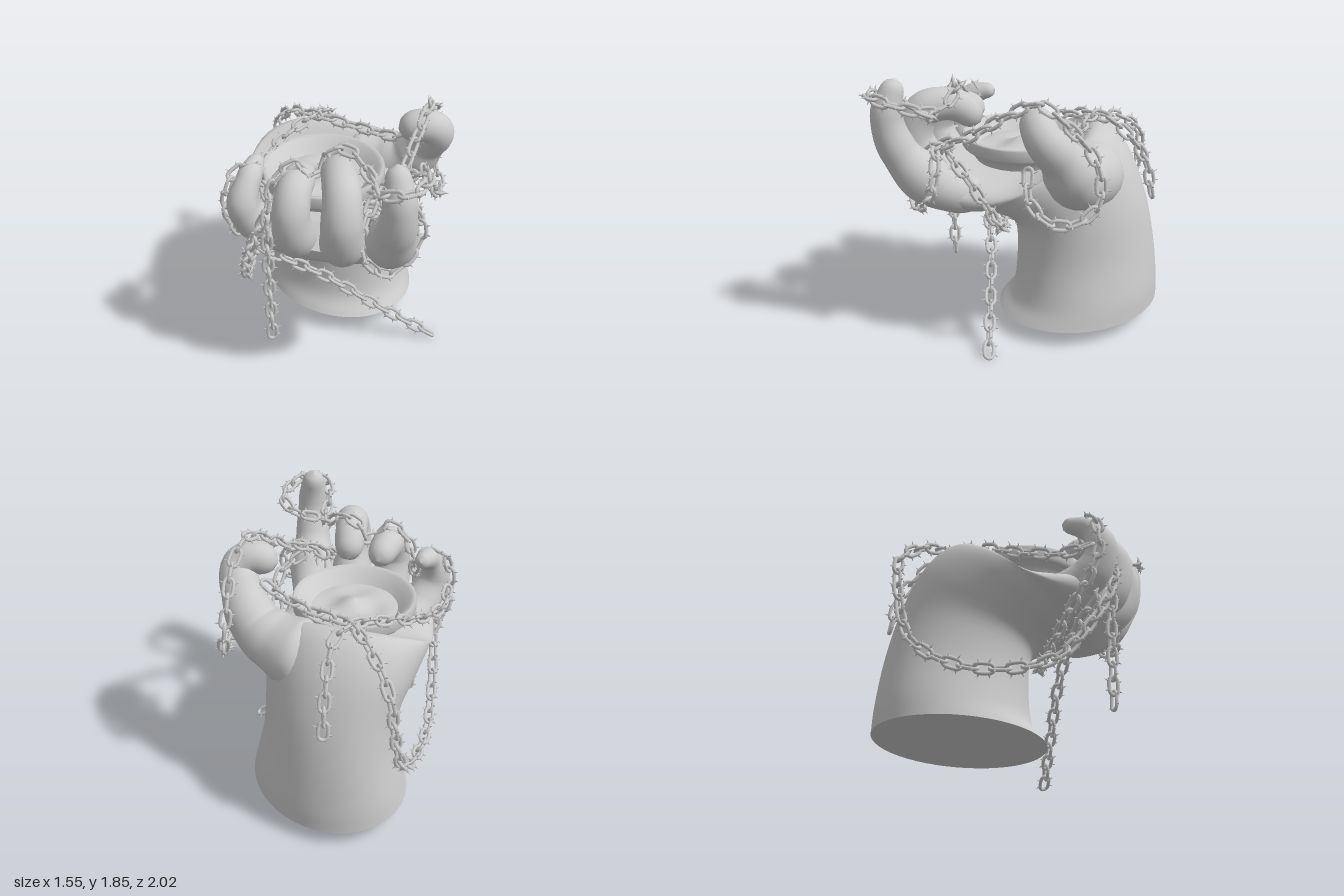
import * as THREE from 'three';
import { mergeGeometries, mergeVertices } from 'three/addons/utils/BufferGeometryUtils.js';

const V = (a) => new THREE.Vector3(...a);
const material = new THREE.MeshStandardMaterial({ color: 0xcccccc });
const open = new THREE.MeshStandardMaterial({ color: 0xcccccc, side: THREE.DoubleSide });

function add(group, name, geometry, mat = material) {
  const mesh = new THREE.Mesh(geometry, mat);
  mesh.name = name;
  group.add(mesh);
}

// Wrist and palm: [back z, back y, front z, front y, centre x, half width]
const SECTIONS = [
  [-1.0, 0.12, 0.16, 0.12, -0.035, 0.555],
  [-0.99, 0.3, 0.06, 0.25, -0.04, 0.52],
  [-0.95, 0.6, 0.03, 0.5, -0.05, 0.465],
  [-0.88, 0.9, 0.04, 0.73, -0.06, 0.46],
  [-0.77, 1.18, 0.1, 0.81, -0.09, 0.5],
  [-0.63, 1.36, 0.19, 0.84, -0.11, 0.53],
  [-0.49, 1.41, 0.28, 0.86, -0.12, 0.54],
  [-0.35, 1.3, 0.37, 0.87, -0.12, 0.54],
  [-0.14, 1.2, 0.47, 0.89, -0.12, 0.54],
  [0.1, 1.18, 0.55, 0.94, -0.11, 0.53],
  [0.32, 1.19, 0.62, 1.01, -0.09, 0.5],
  [0.5, 1.22, 0.66, 1.1, -0.06, 0.42],
];

function palmGeometry() {
  const A = new THREE.CatmullRomCurve3(SECTIONS.map((s) => V(s.slice(0, 3))), false, 'catmullrom');
  const B = new THREE.CatmullRomCurve3(SECTIONS.map((s) => V(s.slice(3))), false, 'catmullrom');
  const rows = 55, sides = 48, pos = [], idx = [];
  for (let i = 0; i <= rows; i++) {
    const t = i / rows, a = A.getPoint(t), b = B.getPoint(t);
    const [zb, yb, zf] = [a.x, a.y, a.z], [yf, xc, hw] = [b.x, b.y, b.z];
    for (let j = 0; j < sides; j++) {
      const w = (j / sides) * Math.PI * 2;
      const c = Math.cos(w), s = Math.sign(Math.sin(w)) * Math.abs(Math.sin(w)) ** (1 - 0.25 * t);
      const x = xc + hw * s + 0.1 * (1 - t) * c;
      pos.push(x, (yb + yf) / 2 + ((yf - yb) / 2) * c,
        (zb + zf) / 2 + ((zf - zb) / 2) * c + 0.22 * x * t * t);
    }
  }
  for (let i = 0; i < rows; i++) for (let j = 0; j < sides; j++) {
    const k = (j + 1) % sides, a = i * sides + j, b = i * sides + k;
    idx.push(a, b, b + sides, a, b + sides, a + sides);
  }
  // End caps on their own vertices so their edges stay sharp
  for (const row of [0, rows]) {
    const start = pos.length / 3, mid = [0, 0, 0];
    for (let j = 0; j < sides; j++) for (let k = 0; k < 3; k++) {
      const v = pos[(row * sides + j) * 3 + k];
      pos.push(v);
      mid[k] += v / sides;
    }
    pos.push(...mid);
    for (let j = 0; j < sides; j++) {
      const p = start + j, q = start + ((j + 1) % sides);
      idx.push(start + sides, ...(row ? [p, q] : [q, p]));
    }
  }
  const g = new THREE.BufferGeometry();
  g.setAttribute('position', new THREE.Float32BufferAttribute(pos, 3));
  g.setIndex(idx);
  g.computeVertexNormals();
  return g;
}

// Finger: tube whose radius follows a list and closes round at both ends
function fingerGeometry(points, radii) {
  const curve = new THREE.CatmullRomCurve3(points.map(V));
  const rows = 56, sides = 20, tube = new THREE.TubeGeometry(curve, rows, 1, sides);
  const p = tube.attributes.position, v = new THREE.Vector3(), length = curve.getLength();
  const first = radii[0] / length, last = (radii[radii.length - 1] * 1.1) / length;
  for (let i = 0; i <= rows; i++) {
    const u = i / rows, c = curve.getPointAt(u), f = u * (radii.length - 1);
    const k = Math.min(Math.floor(f), radii.length - 2);
    const end = Math.max(0, 1 - u / first, 1 - (1 - u) / last);
    const r = THREE.MathUtils.lerp(radii[k], radii[k + 1], THREE.MathUtils.smoothstep(f - k, 0, 1))
      * Math.sqrt(Math.max(0.0004, 1 - end * end));
    for (let j = 0; j <= sides; j++) {
      const n = i * (sides + 1) + j;
      v.fromBufferAttribute(p, n).sub(c).multiplyScalar(r).add(c);
      p.setXYZ(n, v.x, v.y, v.z);
    }
  }
  tube.deleteAttribute('normal');
  tube.deleteAttribute('uv');
  const g = mergeVertices(tube, 1e-5);
  g.computeVertexNormals();
  return g;
}

const FINGERS = {
  indexFinger: [[[0.2, 1.04, 0.2], [0.28, 1.06, 0.42], [0.33, 1.18, 0.63], [0.36, 1.4, 0.8], [0.37, 1.63, 0.855], [0.345, 1.86, 0.79]],
    [0.1, 0.14, 0.165, 0.125, 0.105, 0.07]],
  middleFinger: [[[0.02, 1.04, 0.25], [0.03, 1.06, 0.45], [0.03, 1.16, 0.63], [0.03, 1.38, 0.73], [0.03, 1.56, 0.66], [0, 1.585, 0.46], [-0.01, 1.46, 0.28]],
    [0.1, 0.13, 0.145, 0.13, 0.12, 0.11, 0.09]],
  ringFinger: [[[-0.2, 1.04, 0.15], [-0.23, 1.06, 0.37], [-0.27, 1.15, 0.54], [-0.29, 1.36, 0.61], [-0.27, 1.5, 0.53], [-0.22, 1.48, 0.26]],
    [0.1, 0.13, 0.14, 0.12, 0.11, 0.085]],
  littleFinger: [[[-0.38, 1.04, 0.05], [-0.46, 1.06, 0.22], [-0.55, 1.16, 0.39], [-0.61, 1.33, 0.45], [-0.57, 1.48, 0.38], [-0.525, 1.54, 0.2]],
    [0.1, 0.13, 0.13, 0.105, 0.08, 0.05]],
  thumb: [[[-0.05, 1.14, -0.5], [0.22, 1.15, -0.43], [0.46, 1.23, -0.33], [0.58, 1.4, -0.25], [0.635, 1.56, -0.13], [0.56, 1.615, -0.1], [0.38, 1.59, -0.09]],
    [0.18, 0.24, 0.2, 0.17, 0.135, 0.115, 0.1]],
};

// Spiked chain link, long along x
function linkGeometry() {
  const oval = [];
  for (let i = 0; i < 12; i++) {
    const a = ((i + 0.5) / 12) * Math.PI * 2;
    oval.push(new THREE.Vector3(Math.cos(a) * 0.03 + Math.sign(Math.cos(a)) * 0.033, Math.sin(a) * 0.03, 0));
  }
  const parts = [new THREE.TubeGeometry(new THREE.CatmullRomCurve3(oval, true), 24, 0.0125, 6, true)];
  for (const sx of [-1, 1]) for (const sy of [-1, 1]) {
    const spike = new THREE.ConeGeometry(0.008, 0.03, 5);
    spike.rotateZ(sy > 0 ? -sx * 0.35 : Math.PI + sx * 0.35);
    parts.push(spike.translate(sx * 0.036, sy * 0.052, 0));
  }
  return mergeGeometries(parts);
}

function chainGeometry(points, link) {
  const curve = new THREE.CatmullRomCurve3(points.map(V));
  const n = Math.round(curve.getLength() / 0.1), frames = curve.computeFrenetFrames(n);
  const m = new THREE.Matrix4(), links = [];
  for (let i = 0; i < n; i++) {
    const c = curve.getPointAt((i + 0.5) / n), t = curve.getTangentAt((i + 0.5) / n);
    const y = frames.normals[i].clone().addScaledVector(t, -frames.normals[i].dot(t)).normalize();
    y.applyAxisAngle(t, 0.3 + (i % 2) * Math.PI / 2);
    m.makeBasis(t, y, t.clone().cross(y)).setPosition(c);
    links.push(link.clone().applyMatrix4(m));
  }
  return mergeGeometries(links);
}

const CHAINS = {
  diagonalChain: [[0.68, 0.03, 0.22], [0.3, 0.28, 0.22], [-0.1, 0.57, 0.23], [-0.44, 0.81, 0.3], [-0.56, 0.98, 0.42], [-0.48, 1.25, 0.5]],
  sideLoopChain: [[0.45, 1.5, -0.2], [0.35, 1.45, -0.24], [0.1, 1.44, -0.38], [-0.2, 1.45, -0.52], [-0.4, 1.36, -0.74], [-0.51, 1.2, -0.87],
    [-0.55, 0.9, -0.86], [-0.59, 0.6, -0.77], [-0.64, 0.43, -0.5], [-0.68, 0.4, -0.15], [-0.67, 0.5, 0.14], [-0.63, 0.82, 0.4],
    [-0.55, 1.1, 0.53], [-0.46, 1.3, 0.56]],
  backChain: [[-0.11, 0.87, -0.93], [-0.11, 1.16, -0.86], [-0.12, 1.41, -0.65], [-0.22, 1.45, -0.5], [-0.42, 1.38, -0.3],
    [-0.58, 1.27, -0.06], [-0.69, 1.22, 0.18], [-0.72, 1.28, 0.36]],
  fingerChain: [[-0.46, 0.25, 0.52], [-0.46, 0.9, 0.53], [-0.45, 1.25, 0.56], [-0.43, 1.43, 0.53], [-0.37, 1.58, 0.5], [-0.26, 1.65, 0.48],
    [-0.16, 1.56, 0.46], [-0.11, 1.57, 0.42], [-0.05, 1.69, 0.4], [0.06, 1.72, 0.42], [0.17, 1.63, 0.5], [0.23, 1.6, 0.62],
    [0.23, 1.66, 0.78], [0.3, 1.74, 0.94], [0.43, 1.76, 0.94], [0.52, 1.74, 0.8], [0.53, 1.7, 0.64], [0.43, 1.64, 0.57], [0.28, 1.6, 0.6]],
  thumbChain: [[0.22, 1.22, 0.5], [0.26, 1.36, 0.55], [0.4, 1.5, 0.32], [0.5, 1.66, 0.1], [0.58, 1.76, -0.1], [0.63, 1.65, -0.27],
    [0.63, 1.4, -0.46], [0.66, 1.15, -0.48], [0.7, 1.03, -0.34], [0.7, 1.03, -0.18], [0.63, 1.15, -0.05], [0.55, 1.33, -0.04]],
  indexLoopChain: [[0.22, 1.42, 0.5], [0.16, 1.25, 0.66], [0.21, 1.07, 0.72], [0.34, 0.99, 0.69], [0.46, 1.07, 0.62], [0.53, 1.22, 0.56],
    [0.48, 1.36, 0.55], [0.34, 1.39, 0.55], [0.18, 1.36, 0.48]],
  palmStrapChain: [[0.35, 1.36, 0.48], [0.49, 1.26, 0.36], [0.5, 1.07, 0.24], [0.41, 0.88, 0.16], [0.17, 0.76, 0.13], [-0.1, 0.72, 0.13],
    [-0.36, 0.76, 0.17], [-0.58, 0.9, 0.25], [-0.7, 1.1, 0.36], [-0.72, 1.34, 0.42], [-0.65, 1.52, 0.38], [-0.53, 1.53, 0.33], [-0.46, 1.35, 0.42]],
};

export function createModel() {
  const model = new THREE.Group();

  const hand = new THREE.Group();
  hand.name = 'hand';
  add(hand, 'wristAndPalm', palmGeometry());
  for (const [name, [points, radii]] of Object.entries(FINGERS)) add(hand, name, fingerGeometry(points, radii));
  model.add(hand);

  // Shallow dish resting in the palm
  const dish = new THREE.Group();
  dish.name = 'dish';
  const profile = [[0.33, 1.18], [0.35, 1.24], [0.4, 1.26], [0.42, 1.28], [0.42, 1.35], [0.41, 1.36], [0.38, 1.35], [0.33, 1.3], [0.28, 1.25]];
  add(dish, 'bowl', new THREE.LatheGeometry(profile.map(([r, y]) => new THREE.Vector2(r, y)), 28), open);

  // Uneven filling inside the dish
  const filling = new THREE.RingGeometry(0.001, 0.3, 28, 8).rotateX(-Math.PI / 2);
  const p = filling.attributes.position;
  for (let i = 0; i < p.count; i++) {
    const x = p.getX(i), z = p.getZ(i), fade = 1 - Math.hypot(x, z) / 0.3;
    p.setY(i, 1.265 + 0.05 * fade * (0.4 + Math.sin(x * 17 + 1) * Math.cos(z * 14)));
  }
  filling.computeVertexNormals();
  add(dish, 'filling', filling, open);
  dish.position.set(-0.12, 0, 0);
  model.add(dish);

  const chains = new THREE.Group();
  chains.name = 'chains';
  const link = linkGeometry();
  for (const [name, points] of Object.entries(CHAINS)) add(chains, name, chainGeometry(points, link));
  model.add(chains);
  return model;
}
